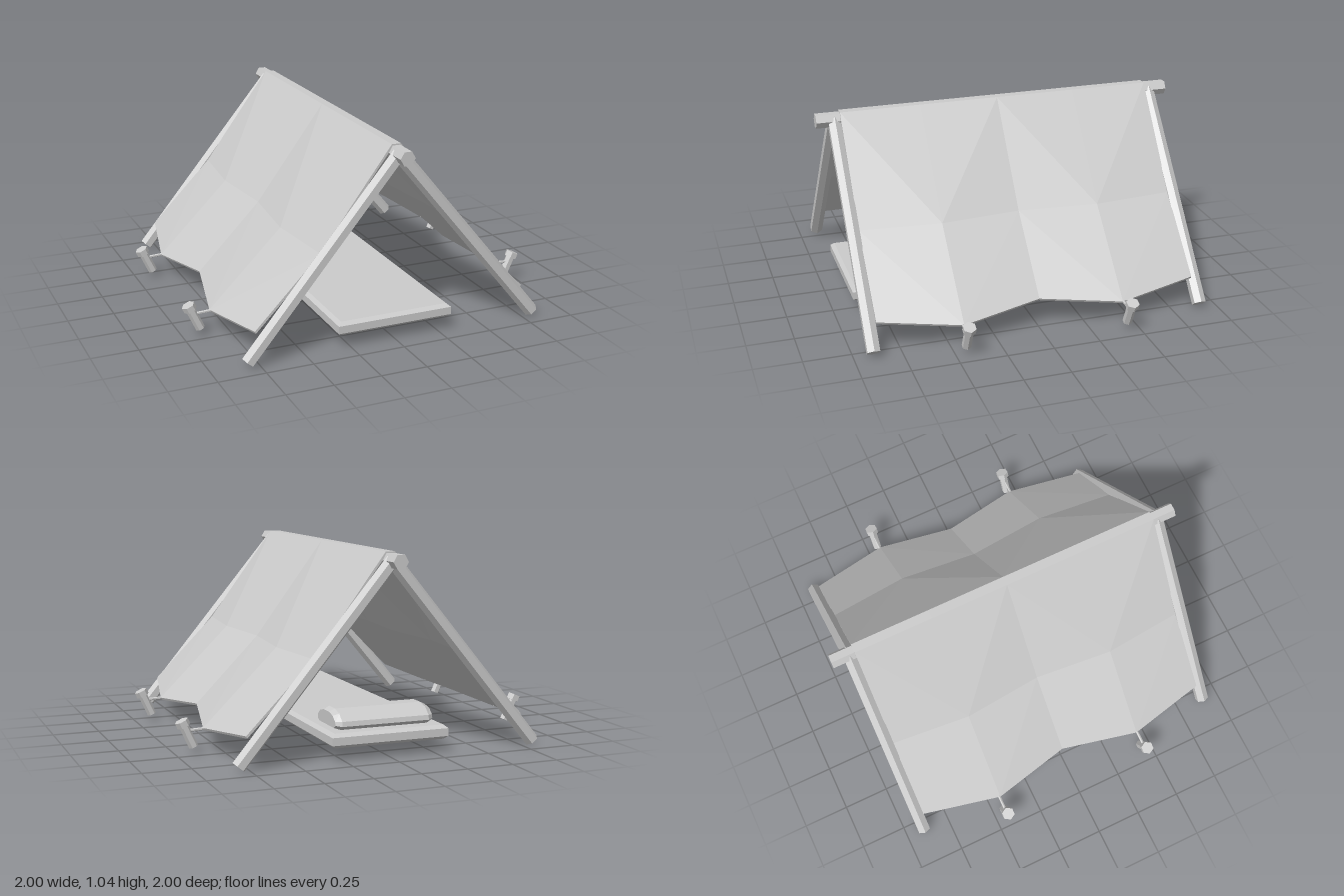
import * as THREE from 'three';

const material = new THREE.MeshStandardMaterial({ color: 0xcccccc, flatShading: true });
const clothMaterial = new THREE.MeshStandardMaterial({ color: 0xcccccc, flatShading: true, side: THREE.DoubleSide });

// Six-sided bar between two points
function bar(name, from, to, radius) {
  const a = new THREE.Vector3(...from), b = new THREE.Vector3(...to);
  const dir = b.clone().sub(a);
  const geometry = new THREE.CylinderGeometry(radius, radius, dir.length(), 6).rotateY(Math.PI / 6);
  const mesh = new THREE.Mesh(geometry, material);
  mesh.name = name;
  mesh.position.copy(a).add(b).multiplyScalar(0.5);
  mesh.quaternion.setFromUnitVectors(new THREE.Vector3(0, 1, 0), dir.normalize());
  return mesh;
}

// Faceted solid through closed rings; flip(k, i) picks the diagonal of each quad
function loft(name, rings, mat = material, flip = () => false) {
  const pos = [], n = rings[0].length;
  const tri = (...points) => points.forEach((p) => pos.push(...p));
  for (let k = 0; k < rings.length - 1; k++) {
    for (let i = 0; i < n; i++) {
      const j = (i + 1) % n;
      const a = rings[k][i], b = rings[k][j], c = rings[k + 1][j], d = rings[k + 1][i];
      if (flip(k, i)) { tri(a, d, b); tri(d, c, b); }
      else { tri(a, d, c); tri(a, c, b); }
    }
  }
  // End caps as strips across the ring
  const first = rings[0], last = rings[rings.length - 1];
  for (let i = 0; i < n / 2 - 1; i++) {
    const q = [i, i + 1, n - 2 - i, n - 1 - i];
    const [a, b, c, d] = q.map((v) => first[v]);
    tri(a, b, c); tri(a, c, d);
    const [e, f, g, h] = q.map((v) => last[v]);
    tri(e, g, f); tri(e, h, g);
  }
  const geometry = new THREE.BufferGeometry();
  geometry.setAttribute('position', new THREE.Float32BufferAttribute(pos, 3));
  geometry.computeVertexNormals();
  const mesh = new THREE.Mesh(geometry, mat);
  mesh.name = name;
  return mesh;
}

// Folded cloth, pulled outward at the two peg columns
function canopy() {
  const rings = [-0.87, -0.435, 0, 0.435, 0.87].map((z, k) => {
    const pegged = k % 2 === 1;
    const half = [
      pegged ? [0.85, 0.128] : [0.76, 0.168],
      pegged ? [0.45, 0.525] : [0.41, 0.525],
      [0.025, 1.043],
    ];
    const outer = [...half.map(([x, y]) => [-x, y, z]), ...half.slice().reverse().map(([x, y]) => [x, y, z])];
    const inner = outer.slice().reverse().map(([x, y]) => [x - Math.sign(x) * 0.006, y - 0.012, z]);
    return [...outer, ...inner];
  });
  return loft('canopy', rings, clothMaterial, (k, i) => (k % 2 === 1) !== (i % 6 < 2));
}

// Slab with bevelled top and bottom edges
function sleepingMat() {
  const layers = [[0.3, 0.88, 0.07], [0.32, 0.9, 0.087], [0.32, 0.9, 0.128], [0.3, 0.88, 0.145]];
  return loft('sleepingMat', layers.map(([x, z, y]) => [[-x, y, -z], [x, y, -z], [x, y, z], [-x, y, z]]));
}

// Domed pillow at the back of the mat
function pillow() {
  const half = [[0.12, 0.145], [0.145, 0.165], [0.14, 0.19], [0.1, 0.225], [0.04, 0.24]];
  const profile = [...half, ...half.slice().reverse().map(([z, y]) => [-z, y])];
  const rings = [[-0.27, 0.75], [-0.24, 1], [0.24, 1], [0.27, 0.75]].map(([x, s]) =>
    profile.map(([z, y]) => [x, 0.18 + (y - 0.18) * s, -0.69 + z * (0.4 + 0.6 * s)]));
  return loft('pillow', rings);
}

export function createModel() {
  const model = new THREE.Group();
  model.name = 'tent';
  model.add(bar('ridgePole', [0, 1, -1], [0, 1, 1], 0.041));

  for (const side of [-1, 1]) {
    // Slanted end poles
    for (const z of [-0.9, 0.9]) {
      model.add(bar('framePole', [side * 0.81, 0.026, z], [0, 1, z], 0.038));
    }
    // Pegs with ropes to the cloth
    for (const z of [-0.44, 0.44]) {
      const peg = new THREE.Group();
      peg.name = 'peg';
      peg.add(
        bar('pegShaft', [side * 0.903, 0.037, z], [side * 0.955, 0.152, z], 0.025),
        bar('pegHead', [side * 0.953, 0.147, z], [side * 0.966, 0.176, z], 0.036),
        bar('pegRope', [side * 0.835, 0.127, z], [side * 0.94, 0.122, z], 0.008),
      );
      model.add(peg);
    }
  }

  model.add(canopy(), sleepingMat(), pillow());
  return model;
}
